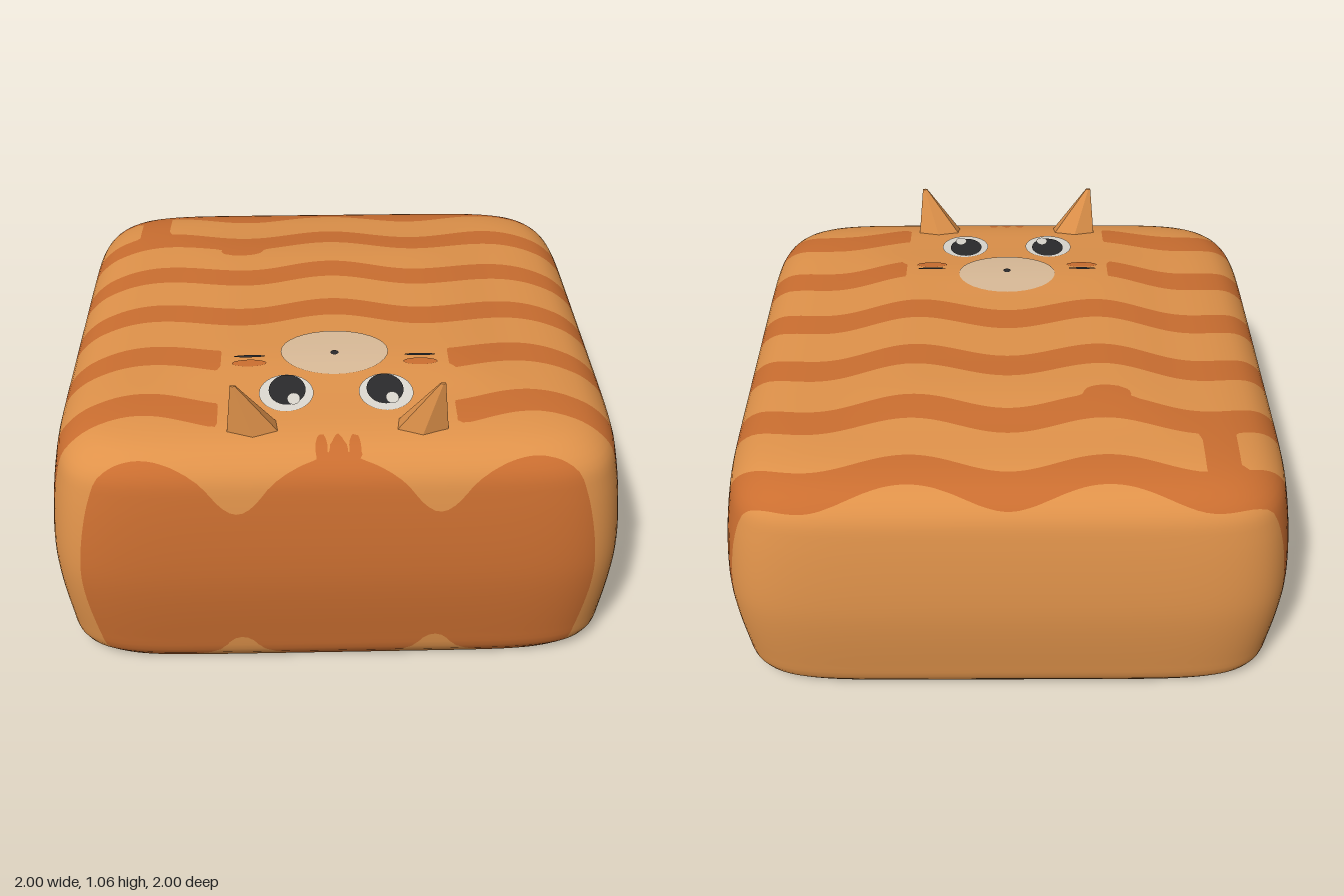
import * as THREE from 'three';

const paint = (name, color, side = THREE.DoubleSide) => {
  const m = new THREE.MeshStandardMaterial({ color, side });
  m.name = name;
  return m;
};

// Side profile of the shell: distance from the centre, height
const profile = new THREE.CatmullRomCurve3(
  [[0, .92], [.2, .92], [.4, .92], [.6, .902], [.8, .88], [.885, .85], [.945, .79], [.97, .7],
    [1, .4], [.975, .12], [.962, .05], [.925, 0]].map(([r, y]) => new THREE.Vector3(r, y, 0)),
  false, 'centripetal').getSpacedPoints(72);

// Rounded-square distance and the roof height that follows from it
const squareNorm = (x, z) => Math.pow(Math.abs(x) ** 8 + Math.abs(z) ** 8, 1 / 8);
function roofHeight(x, z) {
  const r = squareNorm(x, z);
  const i = Math.max(1, profile.findIndex(p => p.x >= r));
  const a = profile[i - 1], b = profile[i];
  return a.y + (b.y - a.y) * (r - a.x) / (b.x - a.x);
}

// Positive inside an ellipse, roughly in units of distance
const ellipse = (x, z, cx, cz, rx, rz) =>
  (1 - Math.hypot((x - cx) / rx, (z - cz) / rz)) * Math.min(rx, rz);

// Positive inside the dark coat markings
function marking(x, z) {
  const d = z - .085 + .038 * Math.cos(2 * Math.PI * x / .67);
  const k = Math.round(d / .305);
  let f = .062 - Math.abs(d - k * .305);
  if (k === 1 || k === 2) f = Math.min(f, Math.abs(x) - .4); // clear the face
  f = Math.max(f, Math.min(.06 - Math.abs(x + .72), .14 - Math.abs(z + .7))); // drip between stripes
  f = Math.max(f, ellipse(x, z, -.35, -.42, .085, .045));
  for (const cx of [-.055, 0, .055]) f = Math.max(f, ellipse(x, z, cx, .875, .02, .055));
  return f;
}

// Lofted shell, open underneath
function shellGeometry(sides = 320) {
  const pos = [], index = [];
  profile.forEach(({ x: r, y }, i) => {
    for (let j = 0; j < sides; j++) {
      const t = j / sides * Math.PI * 2, c = Math.cos(t), s = Math.sin(t), n = squareNorm(c, s);
      pos.push(r * c / n, y, r * s / n);
      if (i === 0) continue;
      const k = (j + 1) % sides, a = (i - 1) * sides, b = i * sides;
      if (i > 1) index.push(a + j, a + k, b + j);
      index.push(a + k, b + k, b + j);
    }
  });
  const g = new THREE.BufferGeometry();
  g.setAttribute('position', new THREE.Float32BufferAttribute(pos, 3));
  g.setIndex(index);
  g.computeVertexNormals();
  for (let j = 0; j < sides; j++) g.attributes.normal.setXYZ(j, 0, 1, 0);
  return g;
}

// Cut a surface along the edge of the markings, keeping one side
function clip(g, sign) {
  const P = g.attributes.position, N = g.attributes.normal, pos = [], nor = [];
  const corner = i => {
    const p = new THREE.Vector3().fromBufferAttribute(P, i);
    return { p, n: new THREE.Vector3().fromBufferAttribute(N, i), f: sign * marking(p.x, p.z) };
  };
  const corners = Array.from({ length: P.count }, (_, i) => corner(i));
  const idx = g.index.array;
  for (let t = 0; t < idx.length; t += 3) {
    const poly = [];
    for (let e = 0; e < 3; e++) {
      const a = corners[idx[t + e]], b = corners[idx[t + (e + 1) % 3]];
      if (a.f >= 0) poly.push(a);
      if ((a.f >= 0) !== (b.f >= 0)) {
        const w = a.f / (a.f - b.f);
        poly.push({ p: a.p.clone().lerp(b.p, w), n: a.n.clone().lerp(b.n, w).normalize() });
      }
    }
    for (let k = 2; k < poly.length; k++)
      for (const v of [poly[0], poly[k - 1], poly[k]]) {
        pos.push(v.p.x, v.p.y, v.p.z);
        nor.push(v.n.x, v.n.y, v.n.z);
      }
  }
  const out = new THREE.BufferGeometry();
  out.setAttribute('position', new THREE.Float32BufferAttribute(pos, 3));
  out.setAttribute('normal', new THREE.Float32BufferAttribute(nor, 3));
  return out;
}

// Thin elliptical patch draped over the roof
function patchGeometry(cx, cz, rx, rz, lift) {
  const g = new THREE.RingGeometry(0, 1, 32, 6).rotateX(-Math.PI / 2);
  const p = g.attributes.position;
  for (let i = 0; i < p.count; i++) {
    const x = cx + rx * p.getX(i), z = cz + rz * p.getZ(i);
    p.setXYZ(i, x, roofHeight(x, z) + lift, z);
  }
  g.computeVertexNormals();
  return g;
}

// Leaning faceted ear
function earGeometry() {
  const g = new THREE.CylinderGeometry(.1, 1, 1, 6).toNonIndexed();
  const p = g.attributes.position;
  for (let i = 0; i < p.count; i++) {
    const t = p.getY(i) + .5;
    p.setXYZ(i, .28 + .1 * p.getX(i) + .06 * t, .872 + .19 * t, .78 + .052 * p.getZ(i) + .035 * t);
  }
  g.computeVertexNormals();
  return g;
}

export function createModel() {
  const model = new THREE.Group();
  const coat = paint('orange coat', 0xdf924a);
  const stripe = paint('dark orange stripe', 0xca6e30);
  const cream = paint('cream muzzle', 0xdabb98);
  const white = paint('eye white', 0xdcd8d0);
  const black = paint('black', 0x2a2a2c);

  const add = (name, geometry, material) => {
    const mesh = new THREE.Mesh(geometry, material);
    mesh.name = name;
    model.add(mesh);
    return mesh;
  };

  // Body shell and its stripes
  const shell = shellGeometry();
  add('body', clip(shell, -1), coat);
  add('stripes', clip(shell, 1), stripe);

  // Face patches, shown on both faces of the shell
  const patch = (name, material, cx, cz, rx, rz, layer = 1) => {
    for (const s of [1, -1])
      add(name + (s > 0 ? '' : 'Inside'), patchGeometry(cx, cz, rx, rz, s * .003 * layer), material);
  };
  patch('muzzle', cream, 0, .375, .19, .14);
  patch('nose', black, 0, .39, .014, .014, 2);
  for (const [side, s] of [['left', 1], ['right', -1]]) {
    patch(side + 'Eye', white, s * .17, .615, .093, .1);
    patch(side + 'Pupil', black, s * .167, .602, .063, .082, 2);
    patch(side + 'EyeGlint', white, s * .167 + .022, .655, .022, .032, 3);
    patch(side + 'Brow', black, s * .3, .408, .055, .007, 2);
    patch(side + 'CheekMark', stripe, s * .3, .445, .06, .02);
    add(side + 'Ear', earGeometry(), coat).scale.x = s;
  }
  return model;
}
